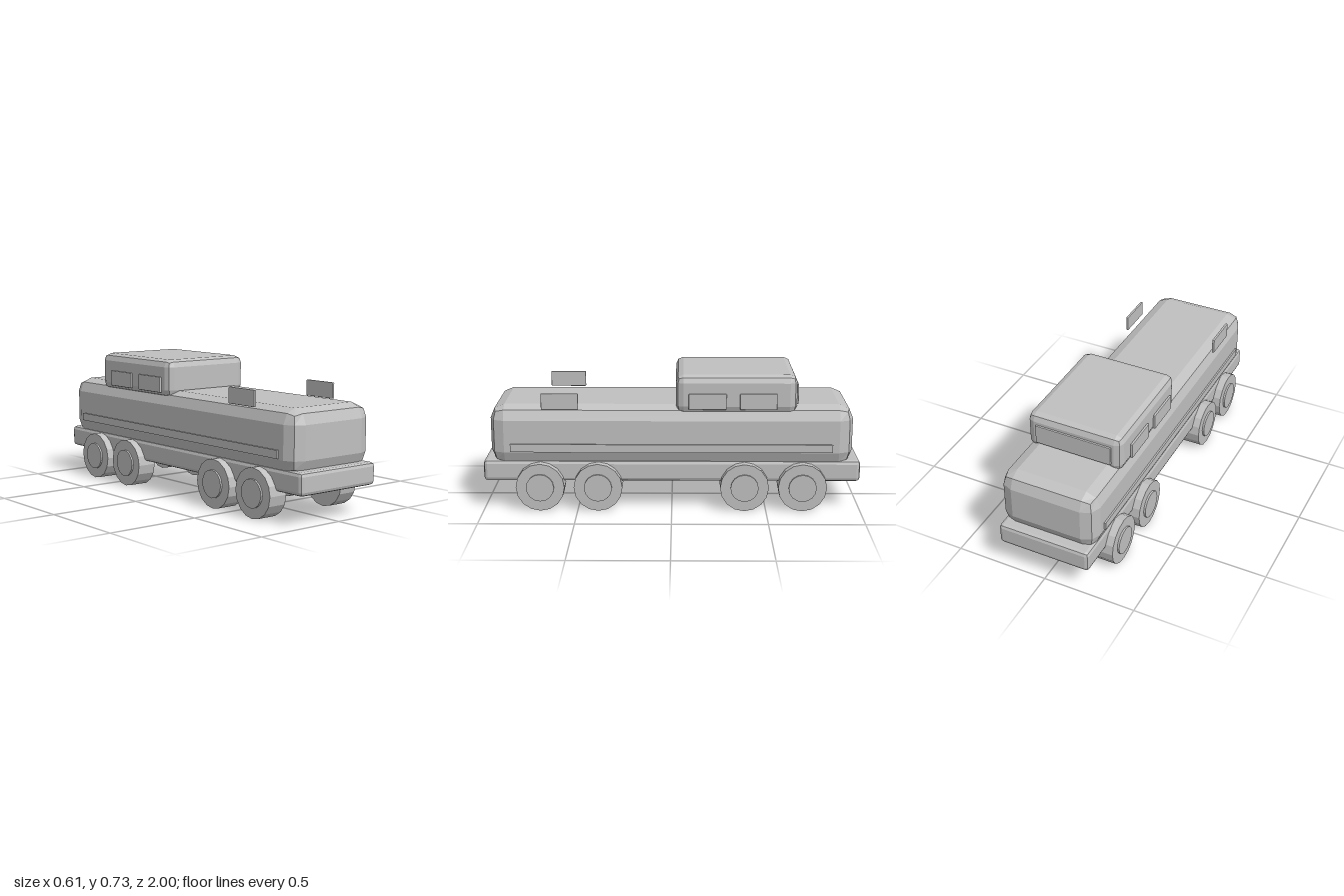
import * as THREE from 'three';
import { RoundedBoxGeometry } from 'three/addons/geometries/RoundedBoxGeometry.js';

export function createModel() {
  const model = new THREE.Group();
  model.name = 'truck';
  const paint = new THREE.MeshStandardMaterial({ color: 0xc0c0c0 });
  paint.name = 'plainGrey';

  function add(name, geometry, x, y, z) {
    // Faceted normals throughout
    const faceted = geometry.index ? geometry.toNonIndexed() : geometry;
    faceted.computeVertexNormals();
    const mesh = new THREE.Mesh(faceted, paint);
    mesh.name = name;
    mesh.position.set(x, y, z);
    model.add(mesh);
  }

  // Two-step bevelled box given by its lower and upper limits
  function block(name, [x0, x1], [y0, y1], [z0, z1], radius) {
    const geometry = new RoundedBoxGeometry(x1 - x0, y1 - y0, z1 - z0, 1, radius);
    add(name, geometry, (x0 + x1) / 2, (y0 + y1) / 2, (z0 + z1) / 2);
  }

  // Sixteen-sided disc with its axle along x
  function disc(name, radius, width, x, y, z) {
    add(name, new THREE.CylinderGeometry(radius, radius, width, 16).rotateZ(Math.PI / 2), x, y, z);
  }

  // Main volumes
  block('chassis', [-0.252, 0.252], [0.15, 0.266], [-1, 1], 0.02);
  block('body', [-0.265, 0.265], [0.238, 0.561], [-0.958, 0.96], 0.075);
  block('cabin', [-0.262, 0.262], [0.525, 0.727], [-0.657, -0.022], 0.039);
  block('rearWindow', [-0.21, 0.21], [0.567, 0.672], [-0.667, -0.65], 0.004);

  for (const side of [1, -1]) {
    const label = side > 0 ? 'left' : 'right';
    const span = (a, b) => (side > 0 ? [a, b] : [-b, -a]);

    // Side panes: two on the cabin, one standing free above the front deck
    for (const [name, z0, z1] of [['RearWindow', -0.55, -0.356], ['FrontWindow', -0.286, -0.088], ['DeckPane', 0.488, 0.683]]) {
      block(label + name, span(0.26, 0.274), [0.55, 0.634], [z0, z1], 0.004);
    }

    // Long rub strip
    add(label + 'Strip', new THREE.BoxGeometry(0.014, 0.042, 1.7), side * 0.267, 0.339, 0.002);

    // Paired axles front and rear
    for (const z of [0.697, 0.39, -0.385, -0.692]) {
      disc(label + 'Wheel', 0.129, 0.106, side * 0.241, 0.129, z);
      disc(label + 'Hub', 0.074, 0.03, side * 0.289, 0.129, z);
    }
  }
  return model;
}
